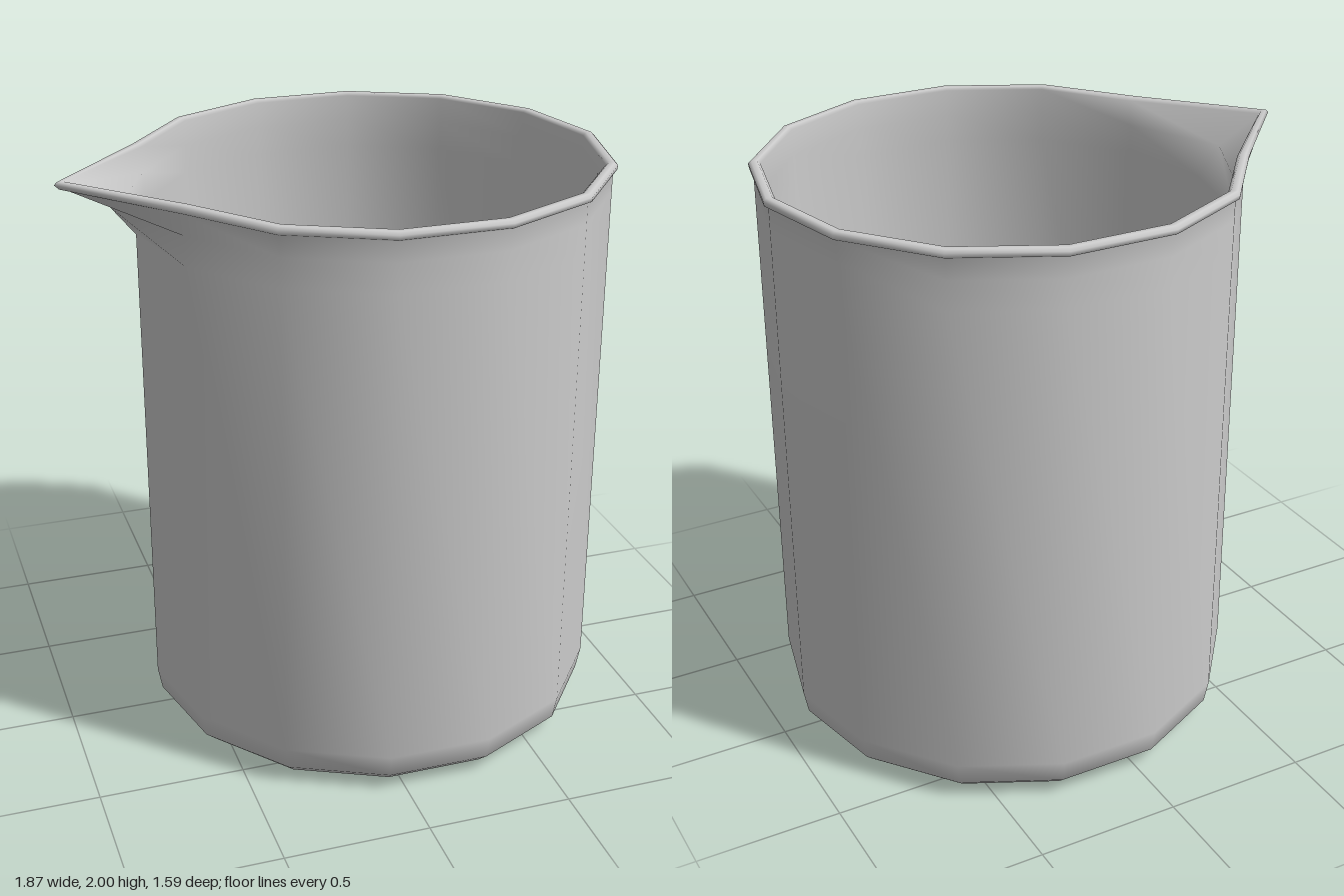
import * as THREE from 'three';
import { mergeVertices } from 'three/addons/utils/BufferGeometryUtils.js';

export function createModel() {
  const group = new THREE.Group();
  group.name = 'beaker';
  const grey = new THREE.MeshStandardMaterial({ color: 0xcccccc });
  grey.name = 'pale grey';

  // Closed wall profile: up the outside, over the rim bead, down the inside
  const profile = [
    [0, 0], [0.66, 0], [0.74, 0.02], [0.785, 0.06], [0.8, 0.14],
    [0.8, 1.8], [0.8, 1.9], [0.8, 1.968], [0.813, 1.975], [0.815, 1.99], [0.805, 2],
    [0.785, 2], [0.775, 1.99], [0.775, 1.9], [0.775, 1.8],
    [0.775, 0.15], [0.76, 0.08], [0.72, 0.045], [0.64, 0.025], [0, 0.025],
  ].map(([r, y]) => new THREE.Vector2(r, y));

  let geo = new THREE.LatheGeometry(profile, 14, Math.PI / 2);
  geo.deleteAttribute('uv');
  geo.deleteAttribute('normal');
  geo = mergeVertices(geo, 1e-4);

  // Pull the single column of vertices on the -x side out into a pouring spout
  const spoutPull = (y) => (y <= 1.8 ? 0
    : y <= 1.9 ? (y - 1.8) * 0.8
    : Math.min(0.24, 0.08 + (y - 1.9) * 1.95));
  const pos = geo.attributes.position;
  for (let i = 0; i < pos.count; i++) {
    if (pos.getX(i) < -0.1 && Math.abs(pos.getZ(i)) < 0.01) {
      pos.setX(i, pos.getX(i) - spoutPull(pos.getY(i)));
    }
  }
  geo.computeVertexNormals();

  const cup = new THREE.Mesh(geo, grey);
  cup.name = 'cupWithSpout';
  cup.position.x = 0.12;
  group.add(cup);
  return group;
}
